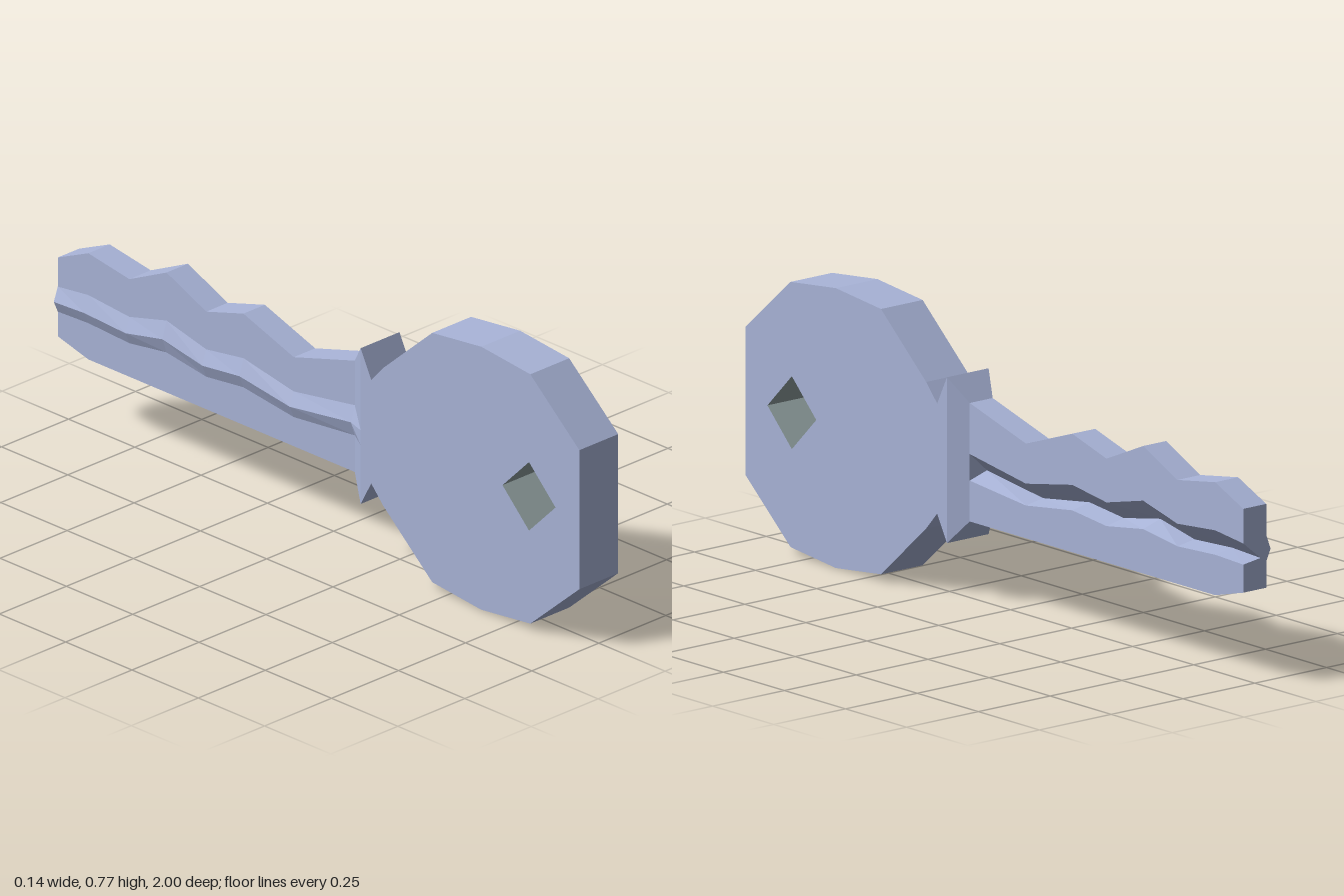
import * as THREE from 'three';

const main = new THREE.MeshStandardMaterial({ color: 0xa9b4d8 });
main.name = 'blueSteel';
const inner = new THREE.MeshStandardMaterial({ color: 0x94a3a3 });
inner.name = 'greyGreenHole';

// Flat handle with a diamond hole, drawn as (z, y) and extruded along x
function makeBow() {
  const upper = [[0.175, 0.615], [0.215, 0.535], [0.26, 0.585], [0.445, 0.748], [0.63, 0.768], [0.815, 0.748], [1, 0.587]];
  const mid = 0.768;
  const lower = upper.map(([z, y]) => [z, mid - y]).reverse();
  lower[lower.length - 1][1] = 0.16;
  const toPoints = (list) => list.map(([z, y]) => new THREE.Vector2(-z, y));
  const shape = new THREE.Shape(toPoints([...upper, ...lower]));
  shape.holes.push(new THREE.Path(toPoints([[0.91, 0.39], [0.81, 0.49], [0.71, 0.39], [0.81, 0.29]])));
  const depth = 0.145;
  const geo = new THREE.ExtrudeGeometry(shape, { depth, bevelEnabled: false });
  geo.translate(0, 0, -depth / 2).rotateY(Math.PI / 2);
  // The last four walls belong to the hole
  const sides = geo.groups[1];
  sides.count -= 24;
  geo.addGroup(sides.start + sides.count, 24, 2);
  const mesh = new THREE.Mesh(geo, [main, main, inner]);
  mesh.name = 'bow';
  return mesh;
}

// Cross-section of the blade: V groove on +x, shallow ridge on -x
function section({ z, w, top, bottom, grooveX, ridgeX, groove: [gt, gv, gb] }) {
  return [
    [w, top], [w, gt], [grooveX, gv], [w, gb], [w, bottom],
    [-w, bottom], [-w, gb - 0.005], [ridgeX, gv + 0.02], [-w, gt + 0.01], [-w, top],
  ].map(([x, y]) => [x, y, z]);
}

// Joins the sections with quads and closes the final one
function loft(sections) {
  const pos = [];
  const quad = (a, b, c, d) => pos.push(...a, ...b, ...c, ...a, ...c, ...d);
  for (let i = 0; i < sections.length - 1; i++) {
    const s = sections[i], t = sections[i + 1], n = s.length;
    for (let j = 0; j < n; j++) {
      const k = (j + 1) % n;
      quad(s[j], s[k], t[k], t[j]);
    }
  }
  const e = sections[sections.length - 1];
  for (let j = 0; j < 4; j++) quad(e[j], e[j + 1], e[8 - j], e[9 - j]);
  const geo = new THREE.BufferGeometry();
  geo.setAttribute('position', new THREE.Float32BufferAttribute(pos, 3));
  geo.computeVertexNormals();
  return geo;
}

function makeBlade() {
  // z, top, bottom, groove top / valley / bottom
  const rows = [
    [0.12, 0.55, 0.225, 0.41, 0.355, 0.337],
    [-0.11, 0.485, 0.225, 0.375, 0.325, 0.315],
    [-0.30, 0.55, 0.225, 0.41, 0.352, 0.34],
    [-0.44, 0.51, 0.225, 0.39, 0.337, 0.325],
    [-0.59, 0.575, 0.225, 0.425, 0.365, 0.347],
    [-0.73, 0.51, 0.225, 0.39, 0.337, 0.328],
    [-0.885, 0.535, 0.225, 0.403, 0.345, 0.336],
    [-1, 0.485, 0.255, 0.39, 0.34, 0.332],
  ];
  const w = 0.04, W = 0.0725;
  const cuts = rows.map(([z, top, bottom, ...groove]) =>
    ({ z, w, top, bottom, groove, grooveX: -0.02, ridgeX: -0.055 }));
  // Collar tapering from the bow to the blade, ending square at the groove
  const collar = { ...cuts[0], z: 0.175, w: W, top: 0.615, bottom: 0.16, grooveX: W, ridgeX: -W };
  const shoulder = { ...cuts[0], grooveX: w };
  const mesh = new THREE.Mesh(loft([collar, shoulder, ...cuts].map(section)), main);
  mesh.name = 'blade';
  return mesh;
}

export function createModel() {
  const group = new THREE.Group();
  group.name = 'key';
  group.add(makeBow(), makeBlade());
  return group;
}
